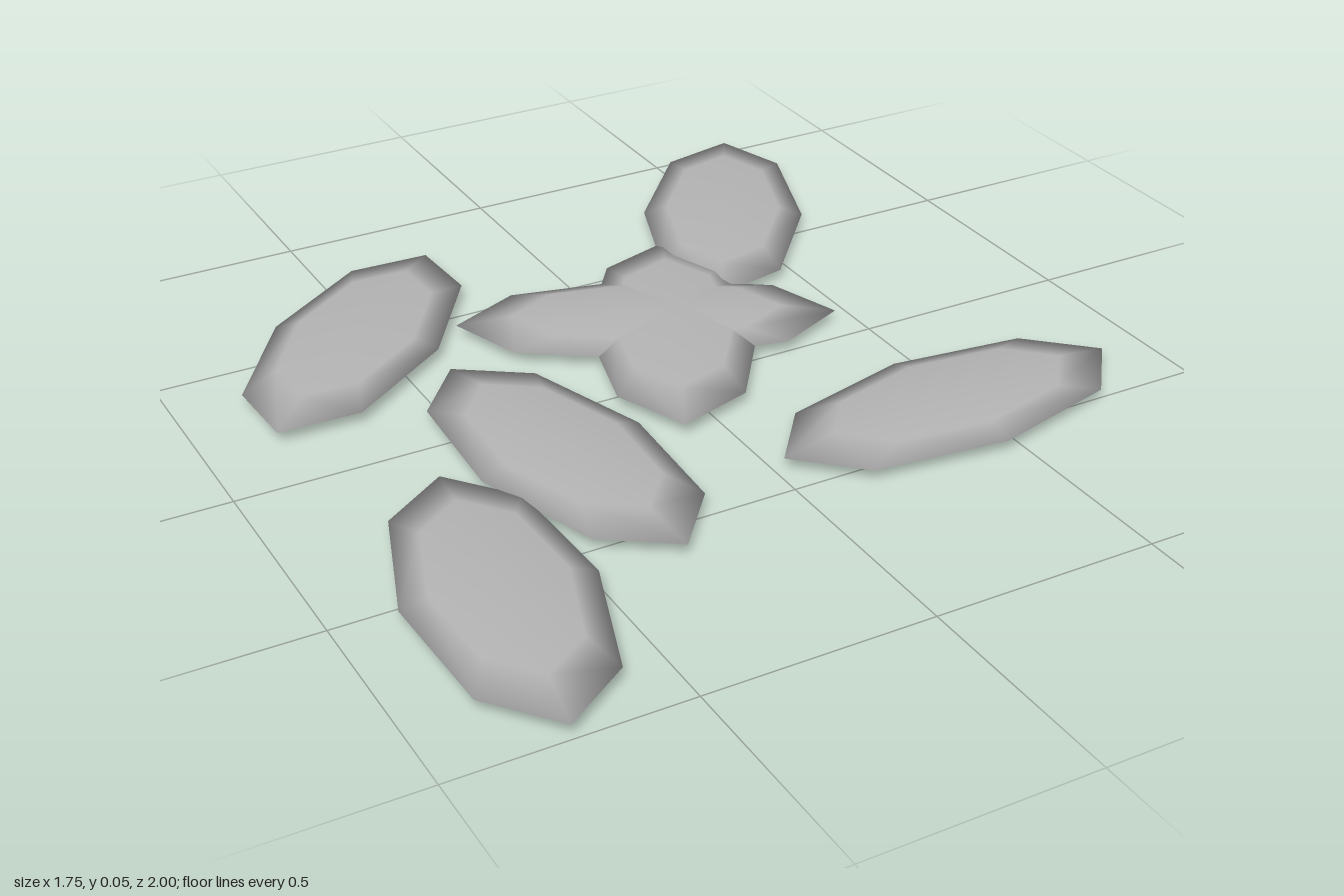
import * as THREE from 'three';

// Half sizes shared by every grain
const HALF_LENGTH = 0.427, HALF_WIDTH = 0.193, HALF_HEIGHT = 0.027;

// Each grain: centre x, centre z, and the direction (x, z) of its long axis
const GRAINS = [
  [-0.545, -0.47, 0.30, -0.305],
  [-0.3625, 0.1825, 0.0575, 0.4225],
  [-0.685, 0.5725, -0.065, 0.4225],
  [0.484, -0.6325, 0.215, -0.3675],
  [0.0625, -0.2425, 0.3875, 0.1725],
  [0.0925, -0.175, 0.1825, -0.385],
  [0.445, 0.395, 0.425, -0.03],
];

export function createModel() {
  const group = new THREE.Group();
  group.name = 'scatteredGrains';

  const grainGrey = new THREE.MeshStandardMaterial({ color: 0xb5b5b5 });
  grainGrey.name = 'grainGrey';

  // Flattened low-poly ellipsoid with smooth normals
  const geometry = new THREE.SphereGeometry(1, 8, 4);
  geometry.scale(HALF_LENGTH, HALF_HEIGHT, HALF_WIDTH);

  GRAINS.forEach(([x, z, dx, dz], i) => {
    const grain = new THREE.Mesh(geometry, grainGrey);
    grain.name = `grain${i + 1}`;
    grain.position.set(x, HALF_HEIGHT, z);
    grain.rotation.y = Math.atan2(-dz, dx);
    group.add(grain);
  });

  return group;
}
